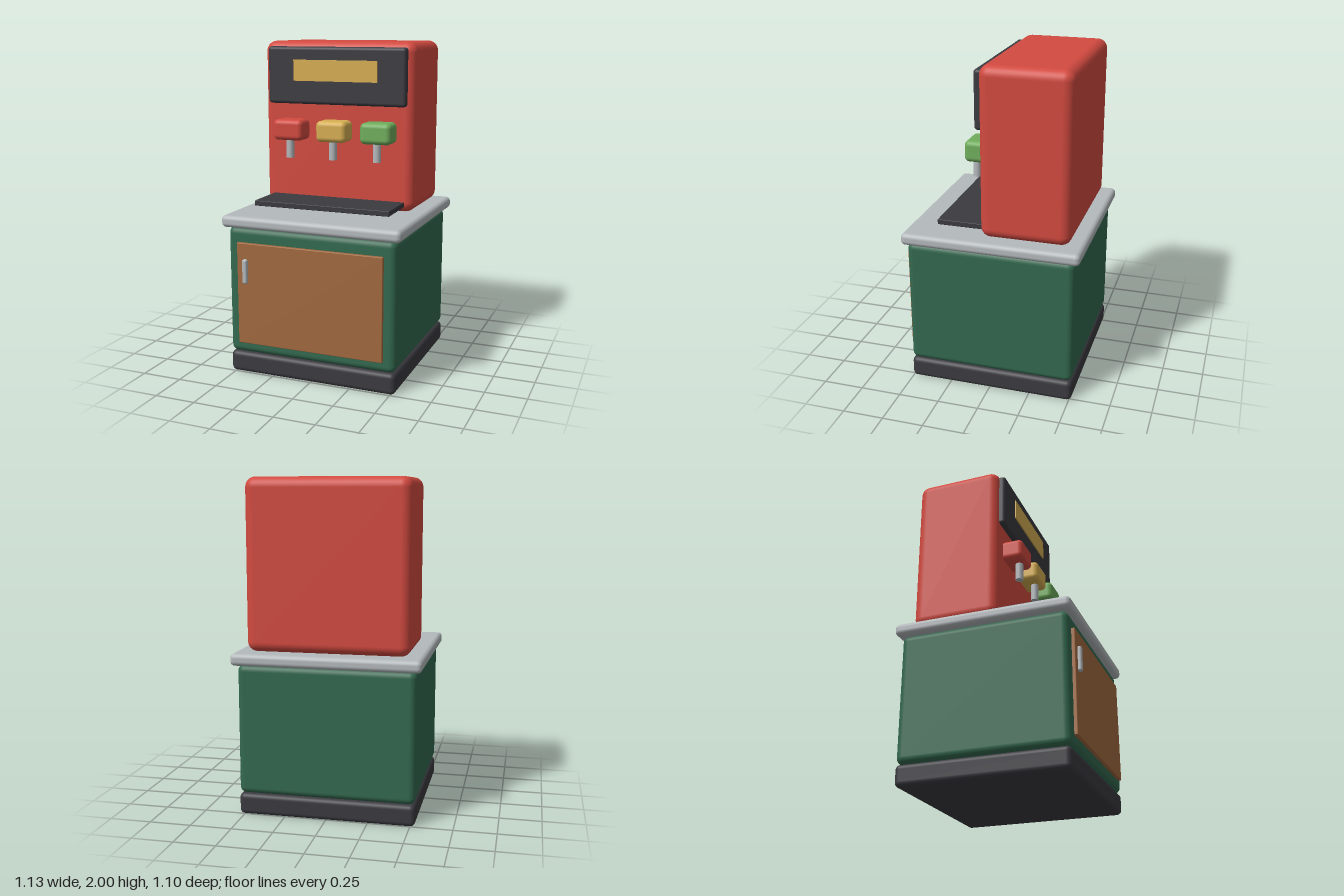
import * as THREE from 'three';
import { RoundedBoxGeometry } from 'three/addons/geometries/RoundedBoxGeometry.js';

const paint = (name, color) => {
  const m = new THREE.MeshStandardMaterial({ color });
  m.name = name;
  return m;
};

export function createModel() {
  const red = paint('red', 0xd24a40);
  const green = paint('dark green', 0x33694f);
  const dark = paint('charcoal', 0x3b3a40);
  const steel = paint('steel', 0xb4b9bc);
  const brown = paint('wood brown', 0xa2693f);
  const yellow = paint('mustard', 0xd6ae52);
  const lime = paint('light green', 0x70ad5c);

  const model = new THREE.Group();
  model.name = 'drinkDispenser';

  const add = (name, geometry, material, x, y, z, parent = model) => {
    const mesh = new THREE.Mesh(geometry, material);
    mesh.name = name;
    mesh.position.set(x, y, z);
    parent.add(mesh);
    return mesh;
  };

  // Box given by its limits on each axis; r rounds the edges
  const block = (name, material, [x0, x1], [y0, y1], [z0, z1], r = 0, parent = model) => {
    const size = [x1 - x0, y1 - y0, z1 - z0];
    const geometry = r ? new RoundedBoxGeometry(...size, 4, r) : new THREE.BoxGeometry(...size);
    return add(name, geometry, material, (x0 + x1) / 2, (y0 + y1) / 2, (z0 + z1) / 2, parent);
  };

  // Cabinet
  block('plinth', dark, [-0.53, 0.53], [0, 0.13], [-0.515, 0.505], 0.03);
  block('cabinet', green, [-0.53, 0.53], [0.13, 0.915], [-0.515, 0.505], 0.04);
  block('door', brown, [-0.46, 0.46], [0.2, 0.826], [0.48, 0.526], 0.005);
  block('doorHandle', steel, [-0.42, -0.388], [0.58, 0.73], [0.515, 0.548], 0.012);
  block('countertop', steel, [-0.563, 0.563], [0.912, 0.985], [-0.55, 0.532], 0.028);

  // Dispenser
  block('dispenserBody', red, [-0.487, 0.487], [0.985, 2], [-0.475, 0.065], 0.06);
  block('headerPanel', dark, [-0.445, 0.445], [1.622, 1.968], [0.03, 0.1], 0.02);
  block('displayStrip', yellow, [-0.27, 0.27], [1.763, 1.89], [0.099, 0.108]);
  block('dripTray', dark, [-0.432, 0.432], [1.018, 1.05], [0.04, 0.34], 0.004);

  // Three taps
  [red, yellow, lime].forEach((color, i) => {
    const tap = new THREE.Group();
    tap.name = ['leftmostTap', 'middleTap', 'rightmostTap'][i];
    tap.position.x = (i - 1) * 0.283;
    model.add(tap);
    block('tapHead', color, [-0.097, 0.097], [1.404, 1.531], [0.02, 0.186], 0.03, tap);
    add('spout', new THREE.CylinderGeometry(0.024, 0.024, 0.15, 20), steel, 0, 1.37, 0.135, tap);
  });

  return model;
}
